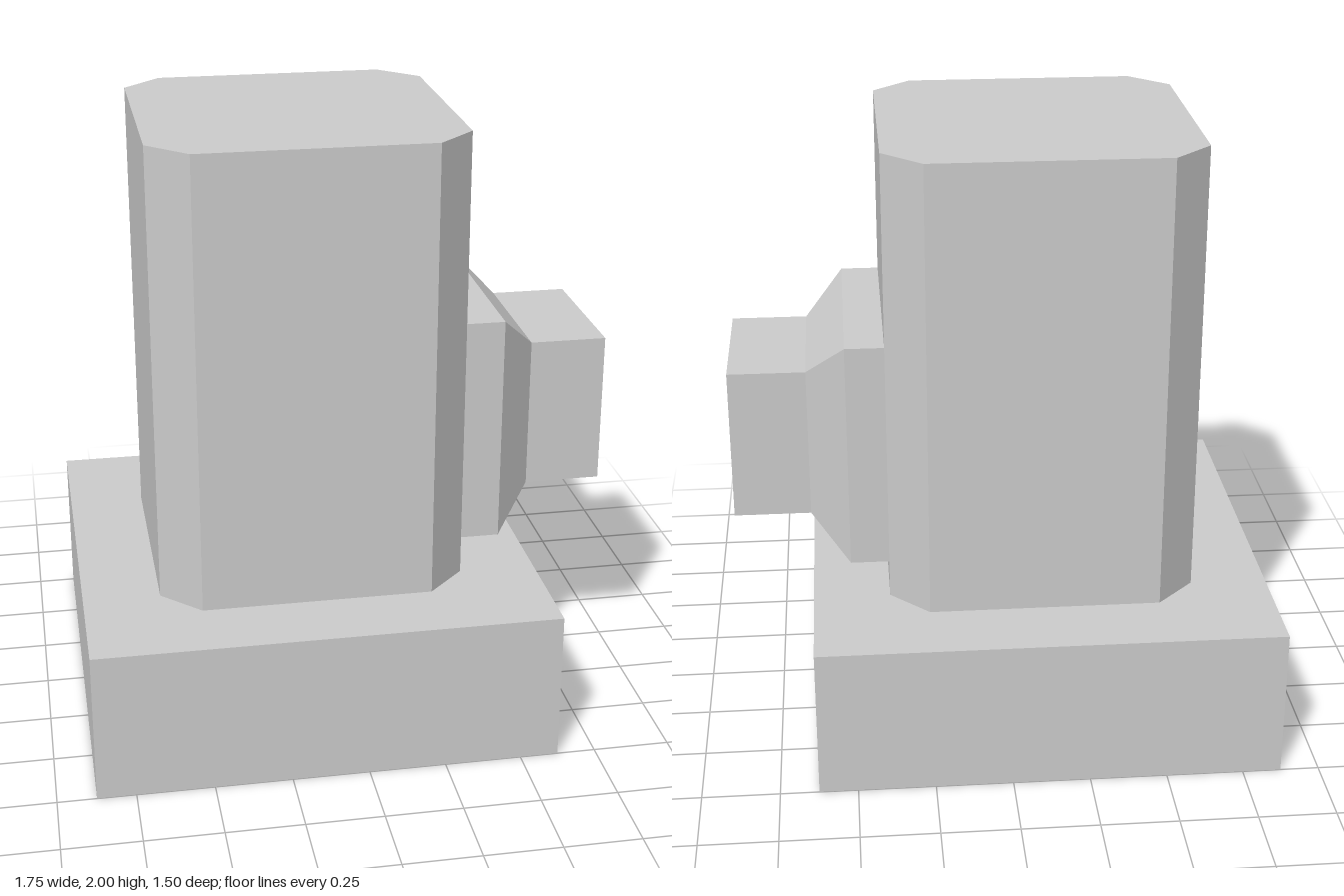
import * as THREE from 'three';

export function createModel() {
  const group = new THREE.Group();
  const material = new THREE.MeshStandardMaterial({ color: 0xcccccc, flatShading: true });

  const add = (name, geometry, x, y, z = 0) => {
    const mesh = new THREE.Mesh(geometry, material);
    mesh.name = name;
    mesh.position.set(x, y, z);
    group.add(mesh);
  };

  // Square plinth
  add('base', new THREE.BoxGeometry(1.5, 0.5, 1.5), -0.125, 0.25);

  // Upright column with chamfered corners
  const h = 0.5, c = 0.375;
  const outline = new THREE.Shape([
    [h, -c], [h, c], [c, h], [-c, h], [-h, c], [-h, -c], [-c, -h], [c, -h],
  ].map(([x, y]) => new THREE.Vector2(x, y)));
  const column = new THREE.ExtrudeGeometry(outline, { depth: 1.5, bevelEnabled: false });
  column.rotateX(-Math.PI / 2);
  add('column', column, -0.125, 0.5);

  // Side fitting: flange, four-sided taper and square stub along +x
  add('flange', new THREE.BoxGeometry(0.125, 0.75, 0.75), 0.4375, 1);
  const taper = new THREE.CylinderGeometry(0.25 * Math.SQRT2, 0.375 * Math.SQRT2, 0.125, 4, 1, true);
  taper.rotateY(Math.PI / 4).rotateZ(-Math.PI / 2);
  add('taper', taper, 0.5625, 1);
  add('stub', new THREE.BoxGeometry(0.25, 0.5, 0.5), 0.75, 1);

  return group;
}
